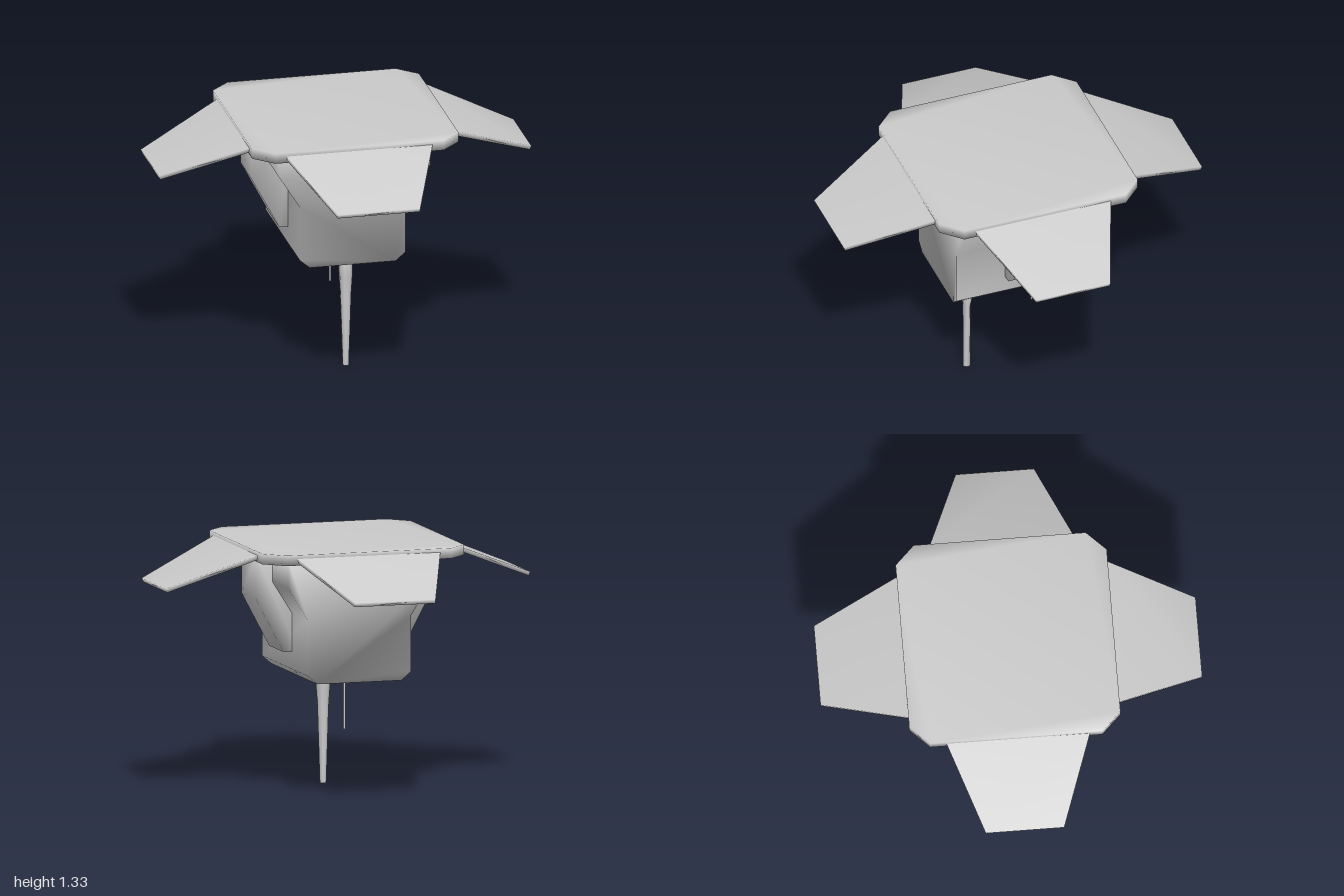
import * as THREE from 'three';
import { mergeVertices } from 'three/addons/utils/BufferGeometryUtils.js';

const material = new THREE.MeshStandardMaterial({ color: 0xcccccc });

// Share vertices so the shading flows softly over every edge.
function soften(geometry) {
  geometry.deleteAttribute('normal');
  geometry.deleteAttribute('uv');
  const merged = mergeVertices(geometry, 1e-4);
  merged.computeVertexNormals();
  return merged;
}

function part(name, geometry) {
  const mesh = new THREE.Mesh(soften(geometry), material);
  mesh.name = name;
  return mesh;
}

// Outline in x/y, extruded from z0 to z1.
function prism(points, z0, z1) {
  const shape = new THREE.Shape(points.map(([x, y]) => new THREE.Vector2(x, y)));
  return new THREE.ExtrudeGeometry(shape, { depth: z1 - z0, bevelEnabled: false }).translate(0, 0, z0);
}

// Skin over rings of equal length, each counter-clockwise seen from the far end.
function loft(rings) {
  const n = rings[0].length, last = (rings.length - 1) * n, index = [];
  for (let r = 0; r < last; r += n) {
    for (let i = 0; i < n; i++) {
      const a = r + i, b = r + (i + 1) % n;
      index.push(a, b, b + n, a, b + n, a + n);
    }
  }
  for (let i = 1; i < n - 1; i++) index.push(0, i + 1, i, last, last + i, last + i + 1);
  const geometry = new THREE.BufferGeometry();
  geometry.setAttribute('position', new THREE.Float32BufferAttribute(rings.flat(2), 3));
  geometry.setIndex(index);
  return geometry;
}

// Sloping tapered panel pointing along +z.
function petal(inner, outer) {
  const ring = (w, yTop, zTop, yLow, zLow) =>
    [[-w, yLow, zLow], [w, yLow, zLow], [w, yTop, zTop], [-w, yTop, zTop]];
  return loft([ring(inner, 1.31, 0.54, 1.288, 0.532), ring(outer, 1.126, 0.998, 1.105, 0.99)]);
}

// Eight-sided ring for the upright leg.
function legRing([y, rx, rz]) {
  return Array.from({ length: 8 }, (_, i) => {
    const a = (i + 0.5) * Math.PI / 4, k = 1 / Math.cos(Math.PI / 8);
    return [rx * k * Math.cos(a), y, -rz * k * Math.sin(a)];
  });
}

export function createModel() {
  const model = new THREE.Group();
  model.name = 'model';

  // Square roof slab with cut corners
  const e = 0.552, c = 0.45;
  const roof = prism([[e, -c], [e, c], [c, e], [-c, e], [-e, c], [-e, -c], [-c, -e], [c, -e]], 0, 0.055);
  model.add(part('roof', roof.rotateX(-Math.PI / 2).translate(0, 1.27, 0)));

  // Four drooping panels around the roof
  ['front', 'left', 'back', 'right'].forEach((side, i) => {
    const lateral = i % 2 === 1;
    const geometry = lateral ? petal(0.38, 0.205) : petal(0.395, 0.22);
    geometry.rotateY(i * Math.PI / 2);
    if (lateral) geometry.translate(0, 0, 0.01);
    model.add(part(side + 'Panel', geometry));
  });

  // Central body, waisted below its shoulders
  const half = [[0.23, 0.615], [0.283, 0.66], [0.283, 0.955], [0.39, 1.125], [0.39, 1.275]];
  const outline = [...half, ...half.map(([x, y]) => [-x, y]).reverse()];
  model.add(part('body', prism(outline, -0.388, 0.392)));

  // Side pods
  const pod = [[0.25, 0.752], [0.33, 0.752], [0.48, 1.035], [0.48, 1.272], [0.25, 1.272]];
  for (const s of [1, -1]) {
    const points = pod.map(([x, y]) => [s * x, y]);
    model.add(part(s > 0 ? 'leftPod' : 'rightPod', prism(points, -0.12, 0.123)));
  }

  // Tapered leg
  const leg = loft([[0, 0.015, 0.018], [0.4, 0.028, 0.018], [0.5, 0.033, 0.036], [0.63, 0.036, 0.036]].map(legRing));
  model.add(part('leg', leg.translate(0, 0, 0.23)));

  // Thin rod under the rear of the body
  model.add(part('rod', new THREE.CylinderGeometry(0.006, 0.006, 0.295, 8).translate(0, 0.4825, -0.13)));

  return model;
}
